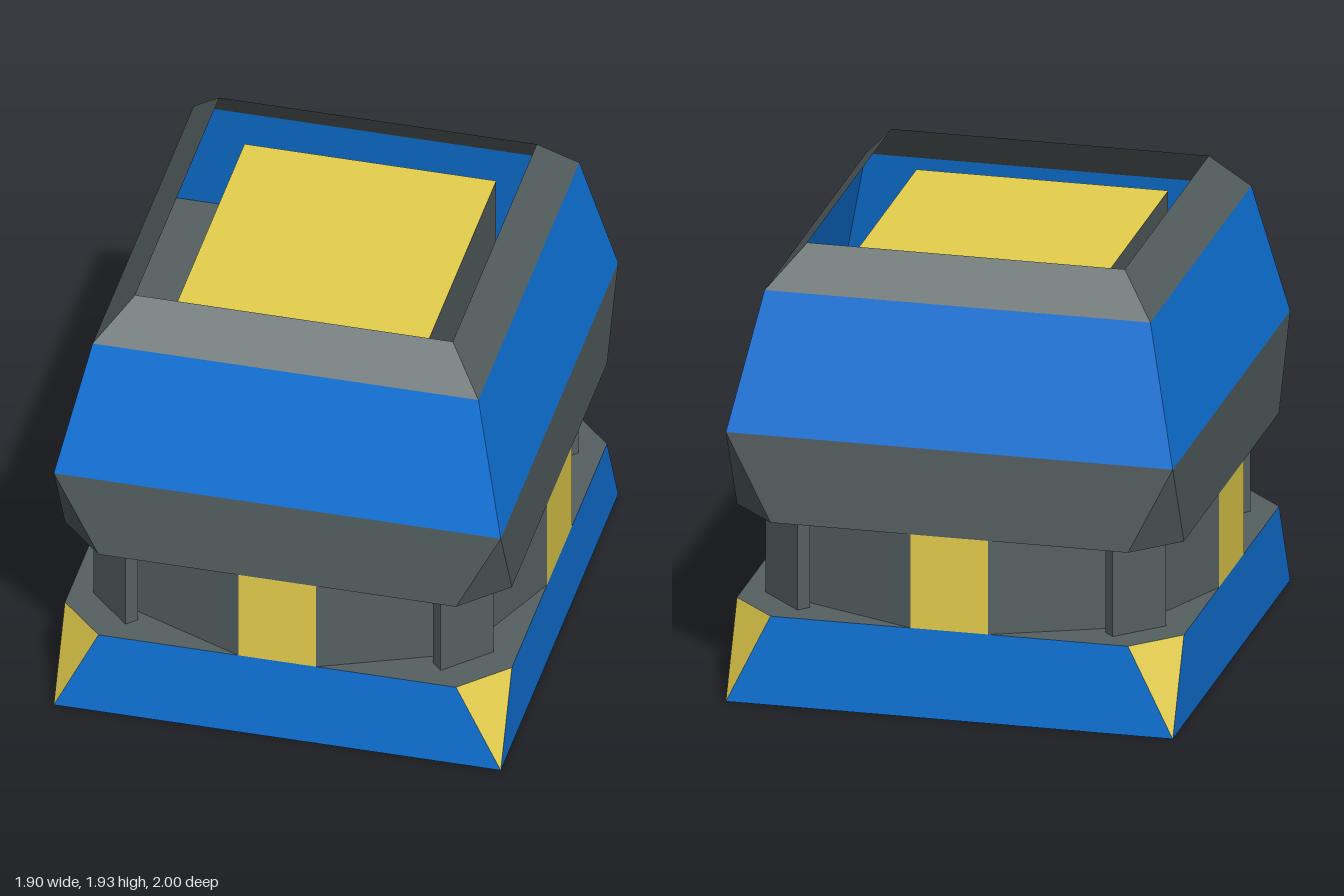
import * as THREE from 'three';

const material = (color) => new THREE.MeshStandardMaterial({ color, flatShading: true, side: THREE.DoubleSide });

// Rectangle with cut corners, counter-clockwise from above; even sides are flat, odd sides are corners.
function cutRect(hx, hz, cut, y) {
  const x = hx - cut, z = hz - cut;
  return [[-x, hz], [x, hz], [hx, z], [hx, -z], [x, -hz], [-x, -hz], [-hx, -z], [-hx, z]]
    .map(([px, pz]) => new THREE.Vector3(px, y, pz));
}

// One flat-shaded mesh from a list of convex polygons.
function polyMesh(name, mat, polys) {
  const points = [];
  for (const p of polys) {
    for (let i = 1; i < p.length - 1; i++) {
      const tri = new THREE.Triangle(p[0], p[i], p[i + 1]);
      if (tri.getArea() > 1e-6) points.push(p[0], p[i], p[i + 1]);
    }
  }
  const geo = new THREE.BufferGeometry().setFromPoints(points);
  geo.computeVertexNormals();
  const mesh = new THREE.Mesh(geo, mat);
  mesh.name = name;
  return mesh;
}

// Side walls between two rings, optionally only the sides that pass the test.
function walls(low, high, test = () => true) {
  const n = low.length;
  return low.map((p, i) => [p, low[(i + 1) % n], high[(i + 1) % n], high[i]]).filter((_, i) => test(i));
}

export function createModel() {
  const blue = material(0x0f75dc), grey = material(0x566061), yellow = material(0xe6cf4d);
  const group = new THREE.Group();
  group.name = 'steppedContainer';
  const add = (name, mat, polys) => group.add(polyMesh(name, mat, polys));
  const flat = (i) => i % 2 === 0, corner = (i) => i % 2 === 1;

  // Base: upright sides with triangular corner facets
  const foot = cutRect(0.95, 1, 0, 0), baseTop = cutRect(0.95, 1, 0.19, 0.39);
  add('baseSides', blue, walls(foot, baseTop, flat));
  add('baseCorners', yellow, walls(foot, baseTop, corner));
  add('baseCaps', grey, [baseTop, [...foot].reverse()]);

  // Neck: walls drawn in at the corners, with a bright panel on each side
  const neckOutline = [[-0.165, 1], [0.165, 1], [0.715, 0.77], [0.95, 0.21], [0.95, -0.21], [0.715, -0.77],
    [0.165, -1], [-0.165, -1], [-0.715, -0.77], [-0.95, -0.21], [-0.95, 0.21], [-0.715, 0.77]];
  const neck = (y) => neckOutline.map(([x, z]) => new THREE.Vector3(x, y, z));
  add('neckWalls', grey, walls(neck(0.39), neck(0.8), (i) => i % 3 !== 0));
  add('neckPanels', yellow, walls(neck(0.39), neck(0.8), (i) => i % 3 === 0));

  // Corner pillars
  for (const sx of [-1, 1]) for (const sz of [-1, 1]) {
    const pillar = new THREE.Mesh(new THREE.BoxGeometry(0.255, 0.41, 0.06), grey);
    pillar.name = 'cornerPillar';
    pillar.position.set(sx * 0.739, 0.595, sz * 0.789);
    pillar.rotation.y = Math.atan2(sx, sz);
    group.add(pillar);
  }

  // Collar: the base turned over
  const collarLow = cutRect(0.95, 1, 0.19, 0.8), collarTop = cutRect(0.95, 1, 0, 1.18);
  add('collar', grey, [...walls(collarLow, collarTop), [...collarLow].reverse(), collarTop]);

  // Open upper shell and its rim
  const shoulder = cutRect(0.82, 0.86, 0, 1.765), lip = cutRect(0.675, 0.715, 0, 1.935);
  add('upperShell', blue, walls(collarTop, shoulder));
  add('rim', grey, walls(shoulder, lip));

  // Raised block inside the opening
  const blockLow = cutRect(0.535, 0.585, 0, 1.18), blockTop = cutRect(0.535, 0.585, 0, 1.815);
  add('innerBlock', grey, walls(blockLow, blockTop));
  add('innerBlockTop', yellow, [blockTop]);
  return group;
}
